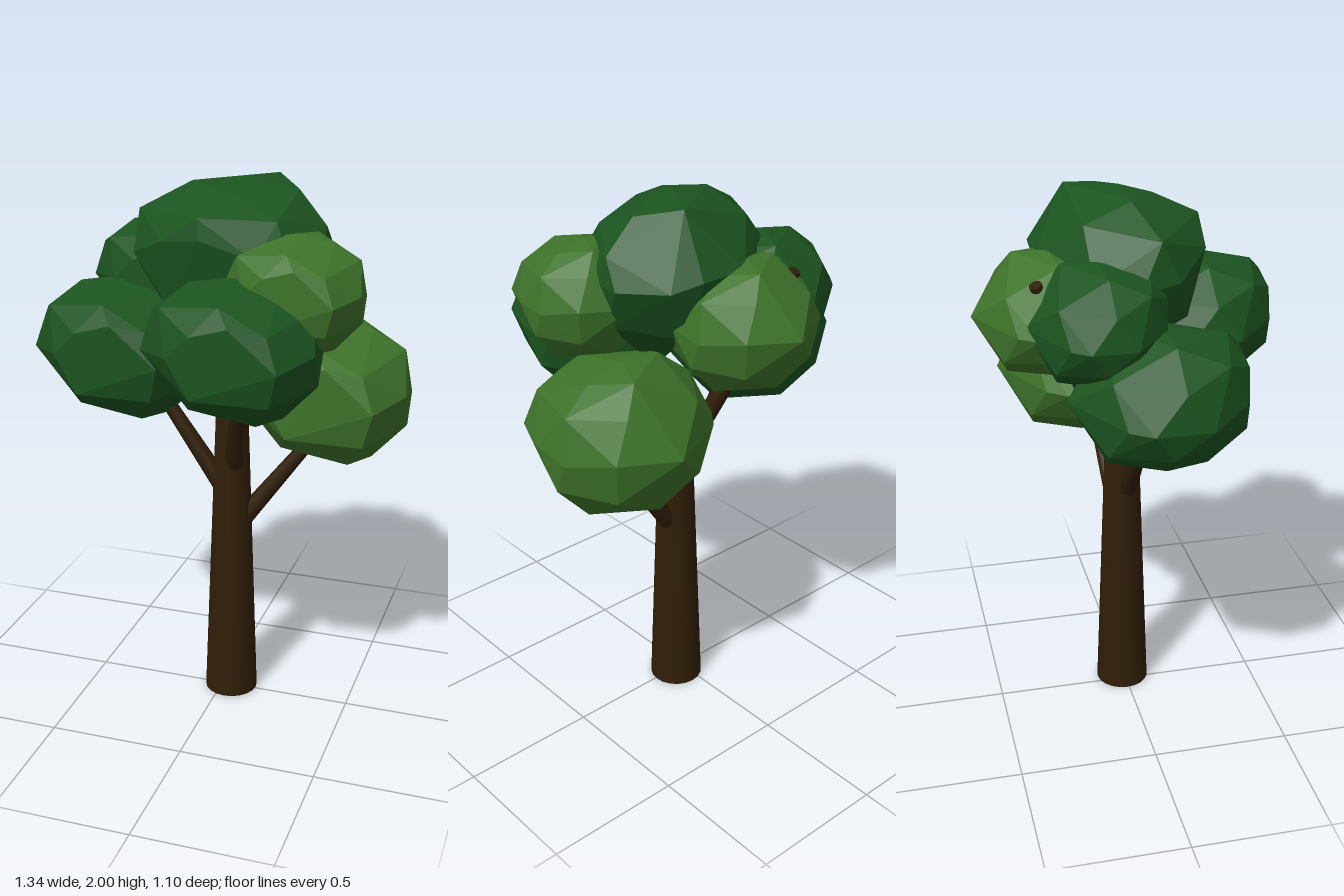
import * as THREE from 'three';
import { ConvexGeometry } from 'three/addons/geometries/ConvexGeometry.js';

const material = (name, color) => {
  const m = new THREE.MeshStandardMaterial({ color });
  m.name = name;
  return m;
};
const toVectors = (points) => points.map((p) => new THREE.Vector3(...p));

// Chiselled leaf clump of unit half-size: flat front, pointed back
const CLUMP = toVectors([
  // middle
  [.02, .05, -1], [.67, .1, -.69], [.98, 0, -.17], [1, .1, .34], [.74, .03, .97], [.6, .5, .88], [.62, -.48, .86],
  [-.23, .45, 1], [-.23, -.42, 1], [.2, .6, 1], [-.53, .1, .92], [-1, 0, .4], [-1, 0, -.25], [-.82, 0, -.5],
  // upper
  [.03, 1, .05], [.53, .88, 0], [.9, .6, -.1], [-.5, .92, .1], [-.95, .5, .1], [.22, .95, -.42],
  [.05, .82, .82], [.45, .6, -.6], [-.5, .5, -.6], [-.68, .7, .64],
  // lower
  [.07, -1, -.1], [.57, -.95, 0], [.97, -.43, 0], [-.53, -.75, 0], [-.87, -.43, 0], [0, -.87, -.55],
  [.6, -.5, -.6], [-.5, -.5, -.65], [-.4, -.75, .5], [.4, -.87, .55],
]);

// Rounder crown clump with a raised corner at the back
const CROWN = toVectors([
  // middle
  [-1, .05, .03], [-.84, .1, -.47], [-.07, .25, -.99], [.44, .25, -.99], [.72, .15, -.83], [1, .1, -.28],
  [.97, .1, .23], [.8, 0, .83], [.47, .2, .95], [-.07, .4, 1], [-.46, .35, .95], [-.87, .1, .53],
  // upper
  [-.87, .6, .3], [-.38, .93, .08], [.07, 1, .05], [.36, .97, -.55], [.66, .86, -.1], [.95, .45, -.05],
  [-.05, .92, .42], [-.45, .7, -.5], [.6, .6, .6], [-.1, .66, .97],
  // lower
  [-.85, -.45, 0], [-.45, -.55, -.7], [.4, -.55, -.75], [.9, -.45, 0], [.45, -.5, .75], [-.45, -.5, .75],
  [-.45, -.9, 0], [.1, -.9, -.4], [.5, -.92, .05], [.05, -.95, .4],
]);

export function createModel() {
  const tree = new THREE.Group();
  tree.name = 'tree';
  const bark = material('bark brown', 0x301e08);
  const dark = material('dark leaf green', 0x1c5420);
  const light = material('light leaf green', 0x3e732a);

  const add = (name, geometry, mat) => {
    const mesh = new THREE.Mesh(geometry, mat);
    mesh.name = name;
    tree.add(mesh);
    return mesh;
  };

  // Tapered trunk
  add('trunk', new THREE.CylinderGeometry(.06, .1, 1.13, 20), bark).position.set(.035, .565, -.008);

  // Branches from the trunk into the clumps
  const branch = (name, from, to) => {
    const a = new THREE.Vector3(...from);
    const b = new THREE.Vector3(...to);
    const dir = b.clone().sub(a);
    const mesh = add(name, new THREE.CylinderGeometry(.022, .037, dir.length(), 12), bark);
    mesh.position.copy(a).add(b).multiplyScalar(.5);
    mesh.quaternion.setFromUnitVectors(new THREE.Vector3(0, 1, 0), dir.normalize());
  };
  branch('rightBranch', [.03, .81, 0], [-.27, 1.27, .03]);
  branch('leftBranch', [.06, .7, -.015], [.36, 1.1, -.06]);
  branch('frontBranch', [.05, .95, .02], [.13, 1.32, .21]);
  branch('backBranch', [.04, .97, -.03], [-.2, 1.745, -.35]);

  // Leaf clumps: name, points, colour, centre, half-size
  const clumps = [
    ['crownClump', CROWN, dark, [.025, 1.715, -.03], [.355, .285, .29]],
    ['rightClump', CLUMP, dark, [-.365, 1.375, .02], [.305, .255, .3]],
    ['frontClump', CLUMP, dark, [.13, 1.475, .265], [.3, .245, .28]],
    ['backRightClump', CLUMP, dark, [-.25, 1.605, -.165], [.265, .217, .235]],
    ['leftClump', CLUMP, light, [.352, 1.235, -.13], [.316, .265, .29]],
    ['upperLeftClump', CLUMP, light, [.3, 1.648, .125], [.242, .202, .215]],
    ['backClump', CLUMP, light, [-.045, 1.585, -.29], [.265, .225, .26]],
  ];
  for (const [name, points, mat, centre, size] of clumps) {
    const mesh = add(name, new ConvexGeometry(points), mat);
    mesh.position.set(...centre);
    mesh.scale.set(...size);
  }
  return tree;
}
